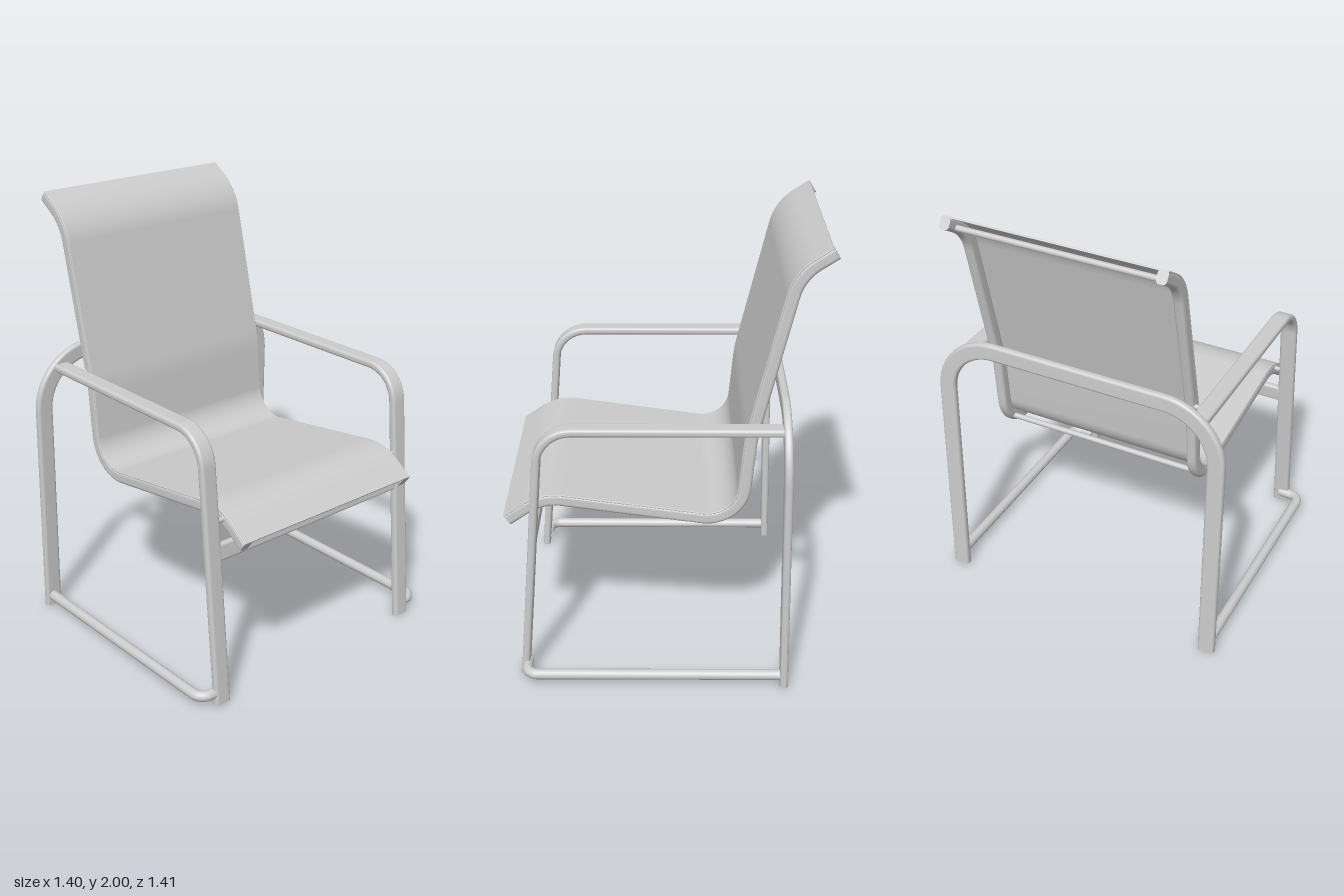
import * as THREE from 'three';

const V = (x, y, z) => new THREE.Vector3(x, y, z);

// Polyline whose inner corners are rounded by exact arcs; cuts = trimmed length per corner
function roundedPath(pts, cuts) {
  const out = [pts[0]];
  for (let i = 1; i < pts.length - 1; i++) {
    const c = pts[i];
    const d0 = pts[i - 1].clone().sub(c).normalize();
    const d1 = pts[i + 1].clone().sub(c).normalize();
    const a = c.clone().addScaledVector(d0, cuts[i - 1]);
    const b = c.clone().addScaledVector(d1, cuts[i - 1]);
    const w = Math.sin(d0.angleTo(d1) / 2);
    for (let k = 0; k <= 12; k++) {
      const t = k / 12, p = (1 - t) ** 2, q = 2 * t * (1 - t) * w, r = t * t;
      out.push(V(0, 0, 0).addScaledVector(a, p).addScaledVector(c, q)
        .addScaledVector(b, r).divideScalar(p + q + r));
    }
  }
  out.push(pts[pts.length - 1]);
  return out;
}

// Rounded rectangle section, counter-clockwise
function section(w, h, r, shift) {
  const pts = [];
  [[1, 1], [-1, 1], [-1, -1], [1, -1]].forEach(([sx, sy], q) => {
    for (let k = 0; k <= 5; k++) {
      const a = (q + k / 5) * Math.PI / 2;
      pts.push([sx * (w / 2 - r) + r * Math.cos(a), sy * (h / 2 - r) + r * Math.sin(a) + shift]);
    }
  });
  return pts;
}

// Sweep a section along a planar path; w runs along the plane normal b, h across the path
function sweep(path, b, w, h, r, shift = 0) {
  const sec = section(w, h, r, shift), m = sec.length, n = path.length;
  const pos = [], idx = [];
  const ring = (i) => {
    const t = V(0, 0, 0);
    if (i > 0) t.add(path[i].clone().sub(path[i - 1]).normalize());
    if (i < n - 1) t.add(path[i + 1].clone().sub(path[i]).normalize());
    const side = b.clone().cross(t).normalize();
    for (const [u, v] of sec) {
      const p = path[i].clone().addScaledVector(b, u).addScaledVector(side, v);
      pos.push(p.x, p.y, p.z);
    }
  };
  for (let i = 0; i < n; i++) ring(i);
  for (let i = 0; i < n - 1; i++) for (let j = 0; j < m; j++) {
    const a = i * m + j, c = i * m + (j + 1) % m;
    idx.push(a, a + m, c, c, a + m, c + m);
  }
  // Flat end caps
  ring(0);
  ring(n - 1);
  for (let j = 1; j < m - 1; j++) {
    const s = n * m, e = s + m;
    idx.push(s, s + j, s + j + 1, e, e + j + 1, e + j);
  }
  const g = new THREE.BufferGeometry();
  g.setAttribute('position', new THREE.Float32BufferAttribute(pos, 3));
  g.setIndex(idx);
  g.computeVertexNormals();
  return g;
}

export function createModel() {
  const chair = new THREE.Group();
  chair.name = 'slingChair';
  const grey = new THREE.MeshStandardMaterial({ color: 0xcccccc });
  grey.name = 'lightGrey';
  const add = (name, geo) => {
    const mesh = new THREE.Mesh(geo, grey);
    mesh.name = name;
    chair.add(mesh);
    return mesh;
  };
  const X = V(1, 0, 0), Y = V(0, 1, 0);

  // Round rod parallel to x
  const rod = (name, x0, x1, y, z, r) => {
    const g = new THREE.CylinderGeometry(r, r, x1 - x0, 16).rotateZ(Math.PI / 2);
    add(name, g).position.set((x0 + x1) / 2, y, z);
  };

  // Seat and back profile, from the front lip to the top
  const profile = (x) => roundedPath([
    V(x, 0.755, 0.688), V(x, 0.864, 0.533), V(x, 0.742, -0.333),
    V(x, 1.16, -0.37), V(x, 1.882, -0.54), V(x, 1.977, -0.685),
  ], [0.09, 0.17, 0.05, 0.09]);

  // Sling fabric stretched over the rails
  add('sling', sweep(profile(0), X, 1.0, 0.008, 0.003, 0.0255));

  for (const s of [1, -1]) {
    const side = s > 0 ? 'left' : 'right';

    add(side + 'SlingRail', sweep(profile(s * 0.479), X, 0.046, 0.057, 0.016));

    // Front leg bending back into the armrest
    const arm = roundedPath([
      V(s * 0.565, 0.004, 0.632), V(s * 0.565, 1.228, 0.53), V(s * 0.565, 1.228, -0.515),
    ], [0.14]);
    add(side + 'LegAndArmrest', sweep(arm, X, 0.078, 0.036, 0.014));

    // Floor runner turning in to the front foot
    const runner = roundedPath([
      V(s * 0.667, 0.055, -0.535), V(s * 0.667, 0.055, 0.616), V(s * 0.56, 0.055, 0.62),
    ], [0.05]);
    add(side + 'Runner', sweep(runner, Y, 0.048, 0.048, 0.0239));

    // Bolts joining the rails to the frame
    const x0 = s > 0 ? 0.48 : -0.55, x1 = s > 0 ? 0.55 : -0.48;
    rod(side + 'FrontBolt', x0, x1, 0.842, 0.566, 0.011);
    rod(side + 'BackBolt', x0, x1, 1.22, -0.397, 0.011);
  }

  // Rear hoop, leaning slightly
  const lean = (x, y) => V(x, y, -0.538 + 0.019 * y);
  const hoop = roundedPath(
    [lean(0.66, 0.004), lean(0.66, 1.285), lean(-0.66, 1.285), lean(-0.66, 0.004)], [0.25, 0.25]);
  add('rearHoop', sweep(hoop, V(0, -0.019, 1).normalize(), 0.036, 0.08, 0.014));

  // Flat bar between the front legs
  add('frontCrossbar', sweep([V(-0.535, 0.7, 0.573), V(0.535, 0.7, 0.573)],
    V(0, 1.224, -0.102).normalize(), 0.08, 0.032, 0.012));

  // Thin stretchers between the rails
  rod('frontStretcher', -0.46, 0.46, 0.787, 0.645, 0.012);
  rod('seatStretcher', -0.46, 0.46, 0.8, -0.3, 0.013);
  rod('topStretcher', -0.46, 0.46, 1.937, -0.638, 0.013);

  return chair;
}
